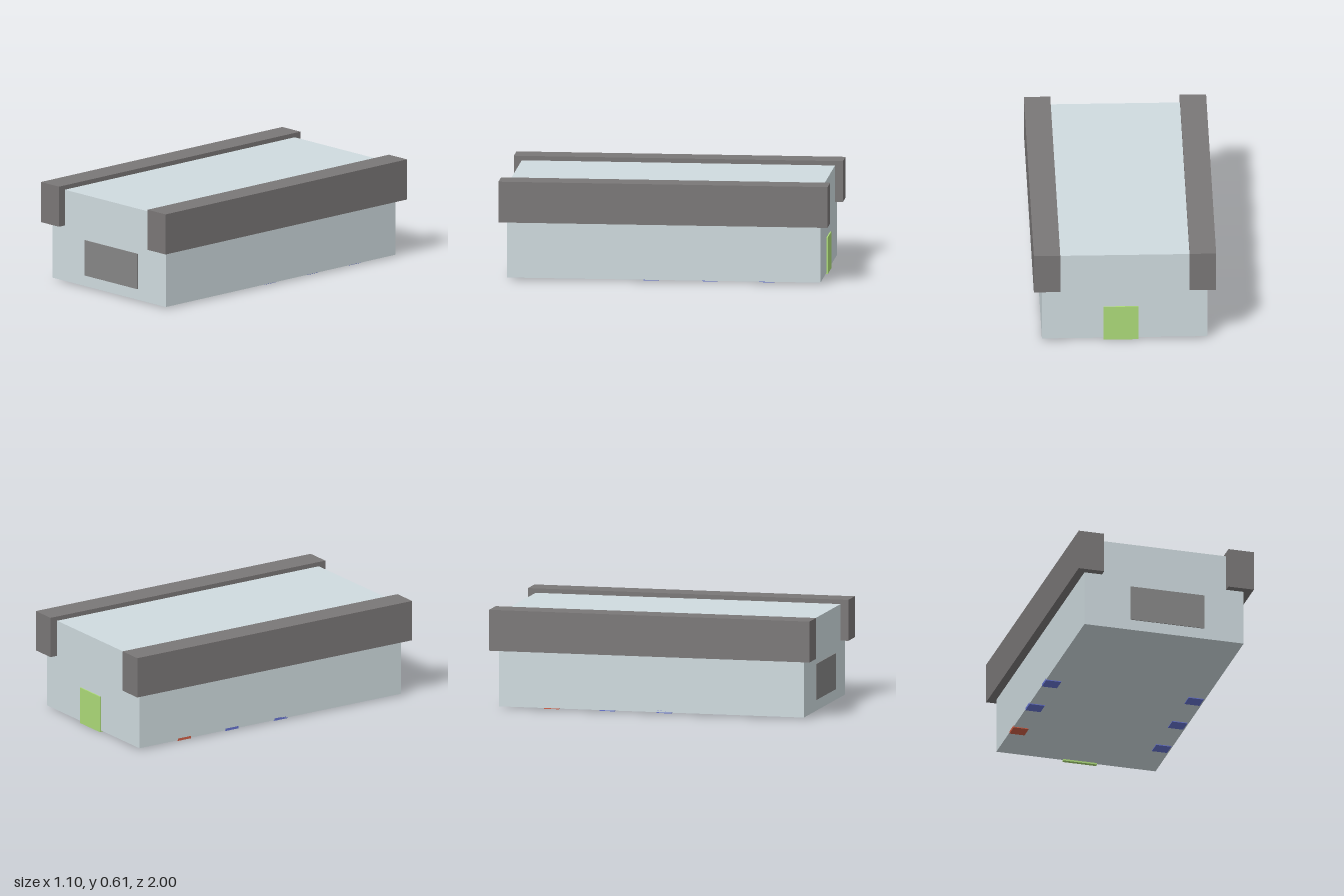
import * as THREE from 'three';

const material = (color) => new THREE.MeshStandardMaterial({ color });

// Box given by its extents along each axis
function block(name, [x0, x1], [y0, y1], [z0, z1], mat) {
  const mesh = new THREE.Mesh(new THREE.BoxGeometry(x1 - x0, y1 - y0, z1 - z0), mat);
  mesh.position.set((x0 + x1) / 2, (y0 + y1) / 2, (z0 + z1) / 2);
  mesh.name = name;
  return mesh;
}

export function createModel() {
  const model = new THREE.Group();
  model.name = 'railedBox';

  const bodyMat = material(0xcfdbdf);
  const railMat = material(0x7a7777);
  const panelMat = material(0x868686);
  const greenMat = material(0xaddb79);
  const blueMat = material(0x6673d0);
  const redMat = material(0xd05f46);

  // Main body
  model.add(block('body', [-0.503, 0.5], [0.01, 0.578], [-0.952, 0.952], bodyMat));

  // Long rails over both top edges
  model.add(block('rightRail', [-0.553, -0.393], [0.355, 0.605], [-1, 1], railMat));
  model.add(block('leftRail', [0.39, 0.55], [0.355, 0.605], [-1, 1], railMat));

  // Plates on the front and back faces
  model.add(block('frontPanel', [-0.213, 0.253], [0.077, 0.297], [0.94, 0.957], panelMat));
  model.add(block('backPlate', [-0.085, 0.128], [0, 0.225], [-0.96, -0.937], greenMat));

  // Two rows of thin pads under the body; the rear right one is red
  const pads = new THREE.Group();
  pads.name = 'pads';
  for (const [side, x0] of [['right', -0.503], ['left', 0.395]]) {
    [0.032, -0.323, -0.67].forEach((z0, i) => {
      const mat = side === 'right' && i === 2 ? redMat : blueMat;
      pads.add(block(`${side}Pad${i + 1}`, [x0, x0 + 0.095], [0.005, 0.02], [z0, z0 + 0.093], mat));
    });
  }
  model.add(pads);
  return model;
}
